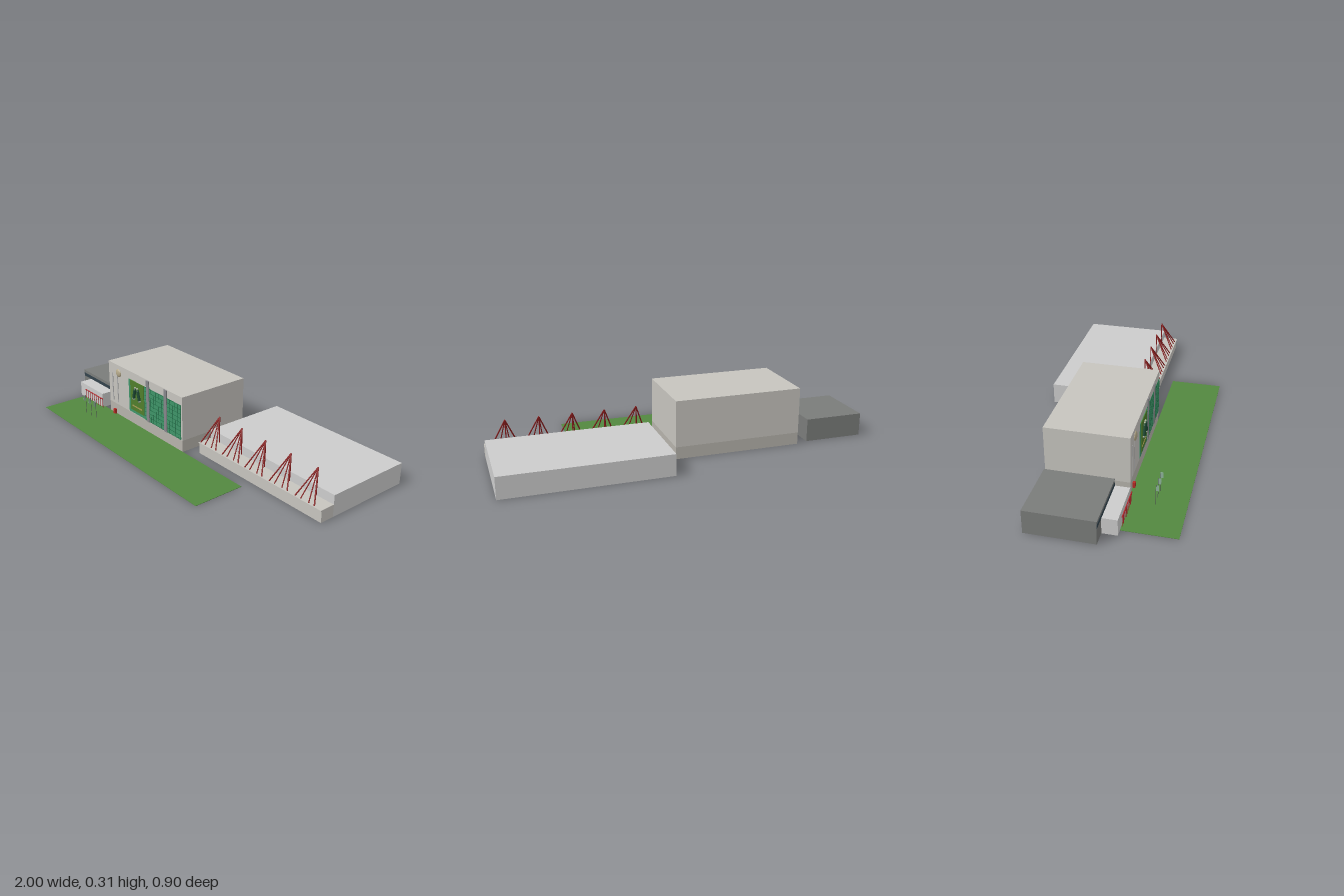
import * as THREE from 'three';

export function createModel() {
  const root = new THREE.Group();
  const mats = {};
  const mat = (c) => (mats[c] ??= new THREE.MeshStandardMaterial({ color: c }));
  const add = (name, geo, color, parent = root) => {
    const m = new THREE.Mesh(geo, mat(color));
    m.name = name;
    parent.add(m);
    return m;
  };
  // box given by its minimum and maximum corners
  const box = (name, x0, x1, y0, y1, z0, z1, color, parent) => {
    const m = add(name, new THREE.BoxGeometry(x1 - x0, y1 - y0, z1 - z0), color, parent);
    m.position.set((x0 + x1) / 2, (y0 + y1) / 2, (z0 + z1) / 2);
    return m;
  };
  // round bar between two points
  const bar = (name, a, b, r, color, parent) => {
    const p = new THREE.Vector3(...a), q = new THREE.Vector3(...b);
    const d = q.clone().sub(p);
    const m = add(name, new THREE.CylinderGeometry(r, r, d.length(), 8), color, parent);
    m.position.copy(p).add(q).multiplyScalar(0.5);
    m.quaternion.setFromUnitVectors(new THREE.Vector3(0, 1, 0), d.normalize());
    return m;
  };
  const group = (name) => {
    const g = new THREE.Group();
    g.name = name;
    root.add(g);
    return g;
  };

  const GREY = 0xcccccc, WALL = 0xc6c4be, PLINTH = 0xb5b2ab, DARK = 0x7a7c7a;
  const RED = 0x8a1c1c, GLASS = 0x3f9468, FRAME = 0x1f6b45, PILLAR = 0x86868a;

  // lawn
  box('lawn', -0.885, 0.54, 0, 0.002, 0.167, 0.45, 0x52883f);

  // main hall
  const hall = group('mainHall');
  box('plinth', -0.612, 0.076, 0, 0.065, -0.254, 0.167, PLINTH, hall);
  box('walls', -0.612, 0.076, 0.065, 0.312, -0.254, 0.167, WALL, hall);
  for (const x of [-0.575, -0.525])
    box('pilaster', x - 0.004, x + 0.004, 0.08, 0.25, 0.167, 0.169, 0xaaaaaa, hall);

  // glazing with its frame bars and pillars
  const glazing = group('glazing');
  box('glass', -0.41, 0.066, 0.07, 0.265, 0.166, 0.169, GLASS, glazing);
  for (let i = 0; i <= 8; i++) {
    const y = 0.07 + i * 0.0244;
    box('glazingBar', -0.255, 0.066, y - 0.001, y + 0.001, 0.168, 0.1705, FRAME, glazing);
  }
  for (let i = 0; i < 12; i++) {
    const x = -0.2 + i * 0.0242;
    box('mullion', x - 0.0007, x + 0.0007, 0.07, 0.265, 0.168, 0.1702, FRAME, glazing);
  }
  for (const x of [-0.225, -0.065])
    box('pillar', x - 0.012, x + 0.012, 0.066, 0.309, 0.166, 0.173, PILLAR, glazing);

  // mural panel with two raised leaning figures
  const mural = group('mural');
  box('muralPanel', -0.39, -0.262, 0.088, 0.265, 0.167, 0.172, 0x4f7d2c, mural);
  box('muralCaption', -0.372, -0.28, 0.113, 0.12, 0.172, 0.174, 0xa59a55, mural);
  for (const s of [-1, 1]) {
    const figure = new THREE.Group();
    figure.name = 'figure';
    figure.position.set(-0.326 + s * 0.02, 0.195, 0.176);
    figure.rotation.z = s * 0.25;
    mural.add(figure);
    add('figureBody', new THREE.CapsuleGeometry(0.009, 0.05, 4, 10), 0x1d4a33, figure);
    const neck = add('figureHead', new THREE.SphereGeometry(0.006, 10, 8), 0xa9b59a, figure);
    neck.position.set(0, 0.04, 0);
    const foot = add('figureFoot', new THREE.SphereGeometry(0.011, 10, 8), 0x93a58a, figure);
    foot.scale.set(1, 0.6, 0.8);
    foot.position.y = -0.032;
  }

  // round wall ornament and red hydrant box
  const orb = add('wallOrnament', new THREE.SphereGeometry(0.024, 24, 16), 0xb5a98a);
  orb.scale.z = 0.4;
  orb.position.set(-0.512, 0.265, 0.167);
  box('redBox', -0.565, -0.548, 0, 0.03, 0.167, 0.18, 0xb52a24);

  // low dark building with a window strip
  const annex = group('darkAnnex');
  box('annexBody', -1, -0.677, 0, 0.122, -0.235, 0.107, DARK, annex);
  box('windowStrip', -0.998, -0.679, 0.085, 0.105, 0.106, 0.1085, 0x33434c, annex);
  box('roofEdge', -1, -0.677, 0.12, 0.124, -0.235, 0.109, DARK, annex);

  // entrance block and red railing
  const entrance = group('entrance');
  box('entranceBlock', -0.922, -0.677, 0, 0.085, 0.107, 0.182, GREY, entrance);
  bar('railTop', [-0.86, 0.056, 0.187], [-0.668, 0.056, 0.187], 0.003, 0xb52a30, entrance);
  for (let i = 0; i < 9; i++) {
    const x = -0.858 + i * 0.0235;
    bar('railPost', [x, 0, 0.187], [x, 0.056, 0.187], 0.0017, 0xa52328, entrance);
  }

  // flag poles on the lawn
  const flags = group('flagPoles');
  for (const x of [-0.667, -0.612, -0.56]) {
    bar('pole', [x, 0, 0.301], [x, 0.114, 0.301], 0.0012, 0x55555a, flags);
    box('flag', x - 0.0006, x + 0.0006, 0.08, 0.112, 0.301, 0.315, 0x8fb59b, flags);
  }

  // wide side hall with its front terrace
  const side = group('sideHall');
  box('sideHallBody', 0.14, 1, 0, 0.114, -0.453, 0.025, GREY, side);
  box('terrace', 0.14, 1, 0, 0.06, 0.025, 0.104, WALL, side);
  box('terraceSlab', 0.14, 1, 0.06, 0.065, 0.025, 0.11, WALL, side);

  // fans of red struts in front of the side hall
  for (const x of [0.208, 0.38, 0.55, 0.722, 0.893]) {
    const fan = group('strutFan');
    const apex = [x, 0.21, 0.025];
    bar('strutPost', [x, 0.063, 0.026], apex, 0.0028, RED, fan);
    for (const s of [-1, 1]) {
      bar('outerStrut', [x + s * 0.06, 0.065, 0.102], apex, 0.0034, RED, fan);
      bar('innerStrut', [x + s * 0.025, 0.065, 0.102], apex, 0.0028, RED, fan);
    }
  }
  return root;
}
